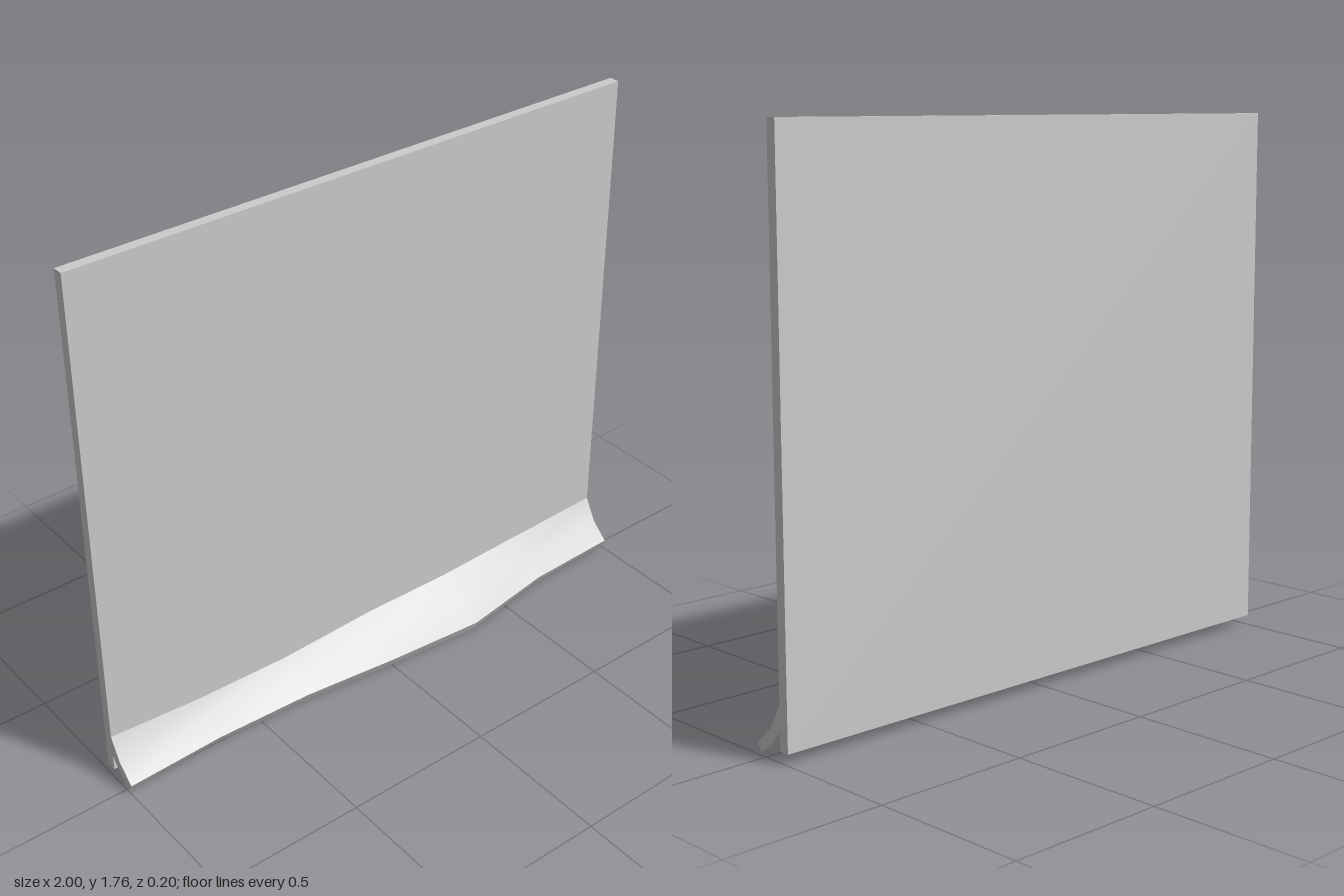
import * as THREE from 'three';
import { toCreasedNormals } from 'three/addons/utils/BufferGeometryUtils.js';

// Sweep closed [z, y] sections along x and cap both ends
function loft(xs, sections) {
  const n = sections[0].length, pos = [], idx = [];
  sections.forEach((s, i) => s.forEach(([z, y]) => pos.push(xs[i], y, z)));
  for (let i = 0; i < xs.length - 1; i++) {
    for (let j = 0; j < n; j++) {
      const k = (j + 1) % n, a = i * n + j, b = i * n + k;
      idx.push(a, b, a + n, b, b + n, a + n);
    }
  }
  const caps = THREE.ShapeUtils.triangulateShape(sections[0].map(([z, y]) => new THREE.Vector2(z, y)), []);
  const last = (xs.length - 1) * n;
  for (const [a, b, c] of caps) {
    // Orient each cap triangle so its normal points outwards along x
    const [p, q, r] = [a, b, c].map((v) => sections[0][v]);
    const area = (q[0] - p[0]) * (r[1] - p[1]) - (q[1] - p[1]) * (r[0] - p[0]);
    const [u, v, w] = area > 0 ? [a, b, c] : [a, c, b];
    idx.push(u, v, w, last + u, last + w, last + v);
  }
  const g = new THREE.BufferGeometry();
  g.setAttribute('position', new THREE.Float32BufferAttribute(pos, 3));
  g.setIndex(idx);
  return toCreasedNormals(g, 0.6);
}

export function createModel() {
  const group = new THREE.Group();
  const grey = new THREE.MeshStandardMaterial({ color: 0xcccccc });

  // Upright flat panel
  const panel = new THREE.Mesh(new THREE.BoxGeometry(2, 1.73, 0.034), grey);
  panel.name = 'panel';
  panel.position.set(0, 0.898, -0.085);
  group.add(panel);

  // Flared, wavy skirt along the foot: x, reach of the lip, height of the seam, lowest edge
  const stations = [
    [-1, 0.03, 0.17, 0.007],
    [-0.667, 0.02, 0.145, 0.006],
    [-0.333, 0.033, 0.136, 0.003],
    [0, 0.07, 0.15, 0.002],
    [0.333, 0.097, 0.146, 0],
    [0.667, 0.045, 0.158, 0.003],
    [1, 0.035, 0.17, 0.007],
  ];
  const back = -0.07;
  const sections = stations.map(([, lip, seam, low]) => {
    const mid = back + 0.42 * (lip - back);
    return [
      [back, seam],
      [mid, 0.09],
      [lip, 0.035],
      [lip - 0.016, low],
      [mid - 0.018, 0.062],
      [back, 0.09],
    ];
  });
  const skirt = new THREE.Mesh(loft(stations.map((s) => s[0]), sections), grey);
  skirt.name = 'skirt';
  group.add(skirt);

  return group;
}
